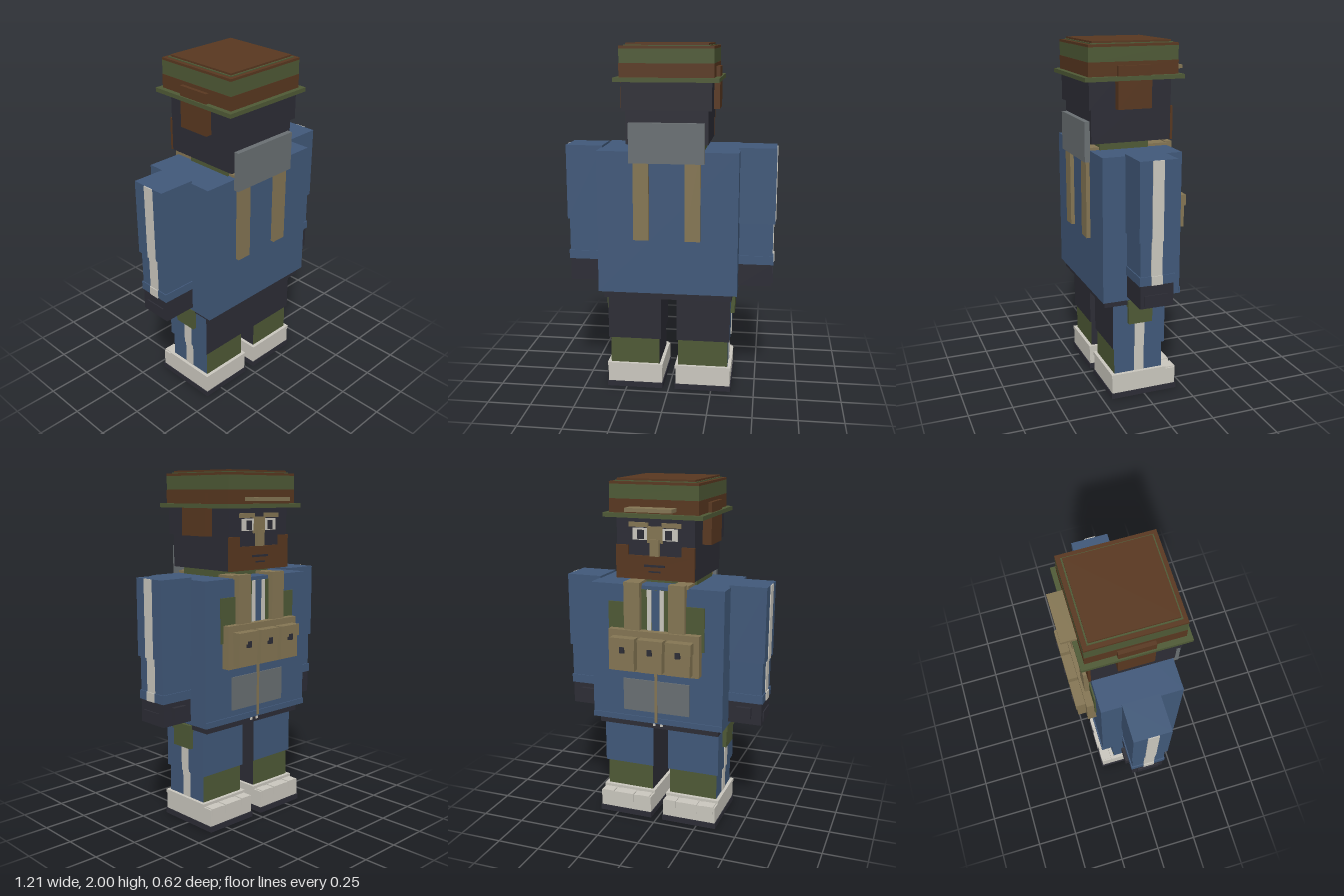
import * as THREE from 'three';

const material = (name, color) => {
  const m = new THREE.MeshStandardMaterial({ color });
  m.name = name;
  return m;
};

export function createModel() {
  const blue = material('blue cloth', 0x41597a);
  const dark = material('charcoal', 0x2d2d36);
  const white = material('off white', 0xcbc8bf);
  const green = material('olive', 0x4f5a36);
  const brown = material('brown', 0x593820);
  const tan = material('tan', 0x857654);
  const gray = material('gray', 0x6a7073);

  const model = new THREE.Group();
  model.name = 'blockFigure';

  // Axis-aligned block between two limits on each axis
  const box = (name, mat, x0, x1, y0, y1, z0, z1) => {
    const mesh = new THREE.Mesh(
      new THREE.BoxGeometry(Math.abs(x1 - x0), y1 - y0, z1 - z0), mat);
    mesh.position.set((x0 + x1) / 2, (y0 + y1) / 2, (z0 + z1) / 2);
    mesh.name = name;
    model.add(mesh);
    return mesh;
  };
  const pair = (name, mat, x0, x1, ...rest) => {
    for (const s of [1, -1]) box(name, mat, s * x0, s * x1, ...rest);
  };

  // Torso, belt and collar
  box('torso', blue, -0.395, 0.395, 0.61, 1.42, -0.195, 0.258);
  box('hem', blue, -0.396, 0.396, 0.612, 0.645, -0.202, -0.19);
  box('belt', dark, -0.365, 0.365, 0.57, 0.612, -0.17, 0.24);
  pair('beltStud', white, 0.015, 0.03, 0.585, 0.6, -0.175, -0.168);
  box('collar', green, -0.2, 0.2, 1.41, 1.462, -0.08, 0.205);

  // Chest details
  box('shirtPanel', green, -0.1, 0.1, 1.16, 1.4, -0.2, -0.194);
  box('shirtCentre', blue, -0.022, 0.022, 1.16, 1.4, -0.204, -0.198);
  pair('shirtStripe', white, 0.025, 0.05, 1.16, 1.4, -0.206, -0.198);
  pair('chestPocket', green, 0.17, 0.285, 1.07, 1.32, -0.203, -0.194);
  box('bellyPanel', gray, -0.2, 0.2, 0.68, 0.87, -0.202, -0.194);
  box('zip', tan, -0.008, 0.008, 0.62, 0.95, -0.206, -0.2);

  // Harness
  pair('frontStrap', tan, 0.085, 0.18, 1.1, 1.44, -0.23, -0.19);
  pair('shoulderStrap', tan, 0.1, 0.19, 1.415, 1.435, -0.2, 0.26);
  pair('backStrap', tan, 0.1, 0.187, 0.925, 1.435, 0.25, 0.28);
  box('pouchBelt', tan, -0.27, 0.27, 0.93, 1.17, -0.245, -0.19);
  for (const x of [-0.165, 0, 0.165]) {
    box('pouch', tan, x - 0.068, x + 0.068, 0.945, 1.08, -0.292, -0.24);
    box('pouchFlap', tan, x - 0.074, x + 0.074, 1.07, 1.135, -0.3, -0.24);
    box('pouchClasp', dark, x - 0.014, x + 0.014, 1.05, 1.085, -0.306, -0.29);
  }

  // Hood flap on the back
  box('hoodFlap', gray, -0.208, 0.208, 1.36, 1.58, 0.262, 0.292);

  // Arms
  pair('upperArm', blue, 0.387, 0.598, 1.003, 1.432, -0.08, 0.13);
  pair('lowerArm', blue, 0.397, 0.588, 0.79, 1.004, -0.07, 0.12);
  pair('cuff', blue, 0.391, 0.594, 0.762, 0.812, -0.076, 0.126);
  pair('upperArmStripe', white, 0.597, 0.603, 1.003, 1.432, -0.003, 0.06);
  pair('lowerArmStripe', white, 0.587, 0.593, 0.812, 1.003, -0.003, 0.06);
  pair('cuffStripe', white, 0.593, 0.599, 0.762, 0.812, -0.003, 0.06);
  pair('glove', dark, 0.395, 0.588, 0.632, 0.764, -0.07, 0.12);
  pair('glovePatch', dark, 0.586, 0.595, 0.645, 0.705, -0.035, 0.095);
  pair('thumb', dark, 0.445, 0.53, 0.67, 0.735, -0.093, -0.065);

  // Legs: blue outside, dark inside
  for (const s of [1, -1]) {
    const sides = s > 0 ? [blue, dark] : [dark, blue];
    box('upperLeg', [...sides, blue, dark, dark, blue],
      s * 0.046, s * 0.355, 0.305, 0.572, -0.125, 0.187);
    box('lowerLeg', [...sides, blue, dark, green, green],
      s * 0.055, s * 0.344, 0.14, 0.306, -0.113, 0.177);
  }
  pair('upperLegStripe', white, 0.354, 0.359, 0.305, 0.57, 0, 0.057);
  pair('lowerLegStripe', white, 0.343, 0.349, 0.15, 0.305, 0, 0.057);
  pair('hipPouch', green, 0.35, 0.378, 0.455, 0.56, -0.04, 0.1);
  pair('hipPouchFlap', green, 0.35, 0.385, 0.555, 0.595, -0.046, 0.106);

  // Shoes
  pair('sole', dark, 0.035, 0.365, 0, 0.032, -0.2, 0.198);
  pair('shoe', white, 0.04, 0.36, 0.03, 0.13, -0.193, 0.193);
  pair('shoeRim', white, 0.036, 0.364, 0.128, 0.148, -0.135, 0.197);
  pair('toeCap', white, 0.15, 0.25, 0.082, 0.135, -0.2, -0.14);
  pair('toeSide', white, 0.05, 0.12, 0.09, 0.135, -0.197, -0.14);
  pair('toeSide', white, 0.28, 0.35, 0.09, 0.135, -0.197, -0.14);

  // Head and hair
  box('head', dark, -0.226, 0.226, 1.46, 1.81, -0.2, 0.26);
  box('hair', dark, -0.245, 0.245, 1.645, 1.8, 0.13, 0.277);

  // Face
  box('beard', brown, -0.228, 0.228, 1.46, 1.59, -0.212, -0.198);
  pair('beardSide', brown, 0.155, 0.228, 1.58, 1.645, -0.212, -0.198);
  box('mouth', dark, -0.06, 0.06, 1.53, 1.542, -0.217, -0.21);
  box('lowerLip', dark, -0.035, 0.035, 1.5, 1.508, -0.217, -0.21);
  box('noseBridge', tan, -0.045, 0.045, 1.66, 1.75, -0.208, -0.198);
  box('nose', tan, -0.026, 0.026, 1.59, 1.68, -0.222, -0.198);
  pair('brow', tan, 0.04, 0.15, 1.745, 1.77, -0.212, -0.198);
  pair('eye', white, 0.045, 0.13, 1.675, 1.74, -0.208, -0.199);
  pair('pupil', dark, 0.062, 0.1, 1.68, 1.73, -0.213, -0.206);

  // Hat with ear flaps and a short peak
  box('hatBrim', green, -0.285, 0.285, 1.797, 1.82, -0.255, 0.31);
  box('hatBand', brown, -0.256, 0.256, 1.818, 1.895, -0.23, 0.283);
  box('hatCrown', green, -0.255, 0.255, 1.89, 1.972, -0.229, 0.282);
  box('hatTopEdge', brown, -0.255, 0.255, 1.971, 1.985, -0.229, 0.282);
  box('hatTopTrim', green, -0.232, 0.232, 1.984, 1.99, -0.205, 0.26);
  box('hatTop', brown, -0.224, 0.224, 1.985, 2, -0.197, 0.252);
  box('hatPeak', tan, -0.133, 0.133, 1.835, 1.855, -0.312, -0.22);
  pair('earFlap', brown, 0.22, 0.277, 1.645, 1.875, -0.068, 0.125);

  return model;
}
